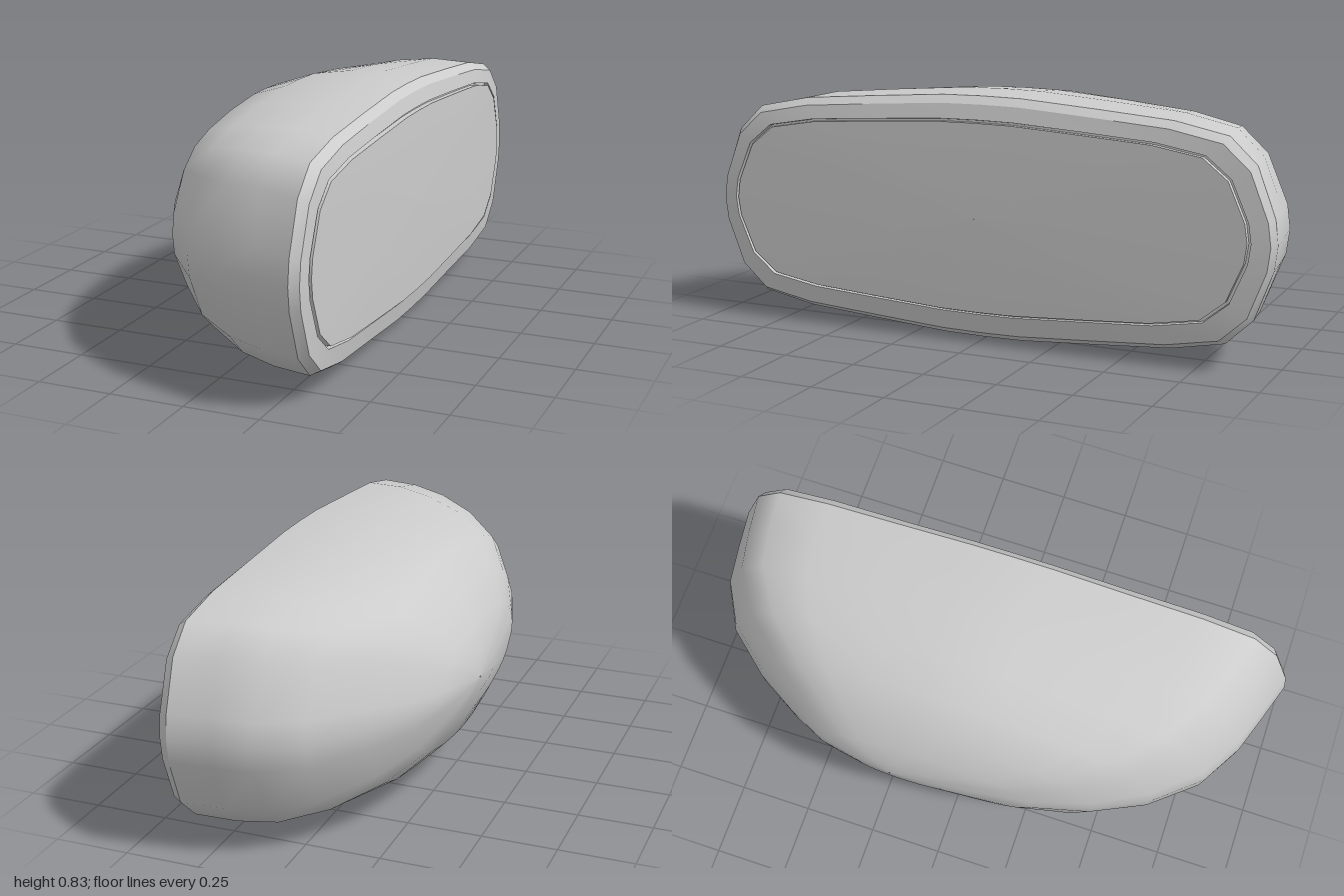
import * as THREE from 'three';

const material = new THREE.MeshStandardMaterial({ color: 0xcccccc, roughness: 0.7 });

// One quarter of the boxy end outline, in unit (z, y), mirrored into a closed loop
const quarter = [[1, 0], [0.99, 0.2], [0.93, 0.6], [0.84, 0.81], [0.66, 0.9], [0.4, 0.95], [0.14, 0.995]];
const outline = [
  ...quarter,
  [0, 1],
  ...quarter.slice(1).reverse().map(([z, y]) => [-z, y]),
  ...quarter.map(([z, y]) => [-z, -y]),
  [0, -1],
  ...quarter.slice(1).reverse().map(([z, y]) => [z, -y]),
];

// Loop of points: boxy = 1 is the end outline, boxy = 0 is an ellipse; dip sinks the mid-sides
function section(x, z0, z1, y0, y1, boxy = 1, dip = 0) {
  return outline.map(([u, v]) => {
    const r = Math.hypot(u, v);
    const a = THREE.MathUtils.lerp(u / r, u, boxy);
    const b = THREE.MathUtils.lerp(v / r, v, boxy);
    const sink = dip * ((1 - u * u) + 0.45 * (1 - v * v));
    return [x - sink, (y0 + y1) / 2 + (b * (y1 - y0)) / 2, (z0 + z1) / 2 + (a * (z1 - z0)) / 2];
  });
}

// Skin a list of equal loops
function loft(name, rings) {
  const n = outline.length, index = [];
  for (let i = 0; i < rings.length - 1; i++) {
    for (let j = 0; j < n; j++) {
      const k = (j + 1) % n;
      const a = i * n + j, b = (i + 1) * n + j, c = (i + 1) * n + k, d = i * n + k;
      index.push(a, b, c, a, c, d);
    }
  }
  const geometry = new THREE.BufferGeometry();
  geometry.setAttribute('position', new THREE.Float32BufferAttribute(rings.flat(2), 3));
  geometry.setIndex(index);
  geometry.computeVertexNormals();
  const mesh = new THREE.Mesh(geometry, material);
  mesh.name = name;
  return mesh;
}

export function createModel() {
  const group = new THREE.Group();
  group.name = 'roundedPod';

  // Domed shell: x, z range, y range, boxiness, dip
  const shell = [
    [-0.39, -0.205, -0.195, 0.418, 0.422, 0],
    [-0.382, -0.32, 0.0, 0.36, 0.5, 0],
    [-0.35, -0.47, 0.29, 0.28, 0.58, 0.1],
    [-0.29, -0.59, 0.49, 0.17, 0.67, 0.25],
    [-0.2, -0.74, 0.67, 0.085, 0.757, 0.4],
    [-0.07, -0.89, 0.82, 0.03, 0.8, 0.6],
    [0.07, -0.965, 0.9, 0.008, 0.82, 0.85],
    [0.2, -0.983, 0.945, 0.003, 0.83, 0.95],
    [0.345, -1, 0.99, 0.015, 0.82, 1, 0.015],
  ].map((s) => section(...s));
  group.add(loft('shell', shell));

  // Narrow bevel and the broad rim around the flat side
  const edge = [0.378, -0.985, 0.975, 0.035, 0.795, 1, 0.022];
  const inner = [0.381, -0.925, 0.925, 0.1, 0.746, 1, 0.012];
  group.add(loft('rimBevel', [shell[shell.length - 1], section(...edge)]));
  group.add(loft('rim', [section(...edge), section(...inner)]));

  // Thin groove between rim and panel
  const floorOuter = [0.36, -0.923, 0.923, 0.102, 0.744];
  const floorInner = [0.36, -0.914, 0.914, 0.109, 0.737];
  const panelEdge = [0.379, -0.914, 0.914, 0.109, 0.737];
  group.add(loft('grooveOuterWall', [section(...inner), section(...floorOuter)]));
  group.add(loft('grooveFloor', [section(...floorOuter), section(...floorInner)]));
  group.add(loft('panelSide', [section(...floorInner), section(...panelEdge)]));

  // Faintly crowned panel
  group.add(loft('panel', [
    section(...panelEdge),
    section(0.383, -0.6, 0.6, 0.22, 0.63),
    section(0.385, -0.001, 0.001, 0.422, 0.424),
  ]));
  return group;
}
